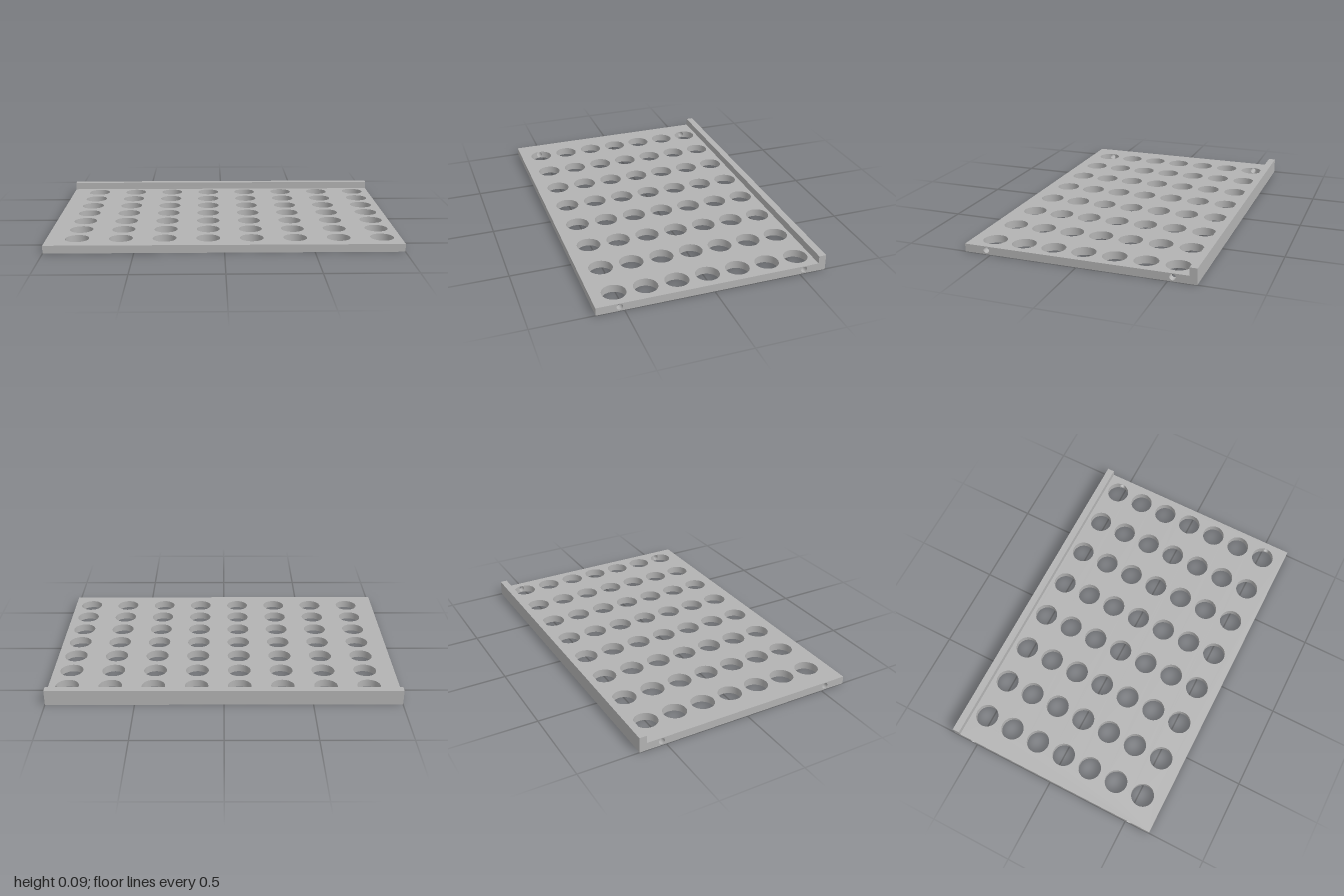
import * as THREE from 'three';

const W = 1, D = 0.654, T = 0.045;            // half width, half depth, plate thickness
const LIP_Z = -0.612, LIP_Y = 0.09;           // rear lip
const R = 0.067, ROWS = 7, COLS = 8;          // round perforations
const BORE_R = 0.0175, BORE_Y = 0.0245;       // small bores in the end faces
const WINDOW = Math.PI / 8;                   // wall sector that a bore breaks through
const colX = i => -0.827 + i * 0.2457;
const rowZ = j => (j - 3) * 0.175;
const BORE_Z = rowZ(ROWS - 1);

function polygon(points) {
  return new THREE.Shape(points.map(p => new THREE.Vector2(p[0], p[1])));
}

function circleHole(x, y, r) {
  return new THREE.Path().absarc(x, y, r, 0, Math.PI * 2, true);
}

// Flat sheet with all the round perforations, between two z values
function perforatedSheet(z0, z1, flip) {
  const s = polygon([[-W, flip * z0], [W, flip * z0], [W, flip * z1], [-W, flip * z1]]);
  for (let i = 0; i < COLS; i++)
    for (let j = 0; j < ROWS; j++) s.holes.push(circleHole(colX(i), flip * rowZ(j), R));
  return new THREE.ShapeGeometry(s, 24).rotateX(flip * Math.PI / 2);
}

// L-shaped end face with two bores
function endFace(side) {
  const u = z => -side * z;
  const s = polygon([[u(D), 0], [u(-D), 0], [u(-D), LIP_Y], [u(LIP_Z), LIP_Y], [u(LIP_Z), T], [u(D), T]]);
  for (const z of [-BORE_Z, BORE_Z]) s.holes.push(circleHole(u(z), BORE_Y, BORE_R));
  return new THREE.ShapeGeometry(s, 12).rotateY(side * Math.PI / 2).translate(side * W, 0, 0);
}

// Curved piece of perforation wall with the bore opening cut in it
function boredWall(side) {
  const pts = [], n = 6;
  for (let k = 0; k <= n; k++) pts.push([-WINDOW + 2 * WINDOW * k / n, 0]);
  for (let k = n; k >= 0; k--) pts.push([-WINDOW + 2 * WINDOW * k / n, T]);
  const s = polygon(pts);
  const opening = [];
  for (let k = 0; k < 24; k++) {
    const a = -k / 24 * Math.PI * 2;
    opening.push(new THREE.Vector2(Math.asin(BORE_R * Math.cos(a) / R), BORE_Y + BORE_R * Math.sin(a)));
  }
  s.holes.push(new THREE.Path(opening));
  const g = new THREE.ShapeGeometry(s);
  const p = g.attributes.position;
  for (let i = 0; i < p.count; i++) {
    const a = p.getX(i);
    p.setXYZ(i, side * R * Math.cos(a), p.getY(i), R * Math.sin(a));
  }
  g.computeVertexNormals();
  return g;
}

// Bore lining from the end face to the curved perforation wall
function boreLining(side, cx) {
  const g = new THREE.CylinderGeometry(BORE_R, BORE_R, 1, 24, 1, true).rotateZ(Math.PI / 2);
  const p = g.attributes.position;
  for (let i = 0; i < p.count; i++) {
    const z = p.getZ(i);
    const outer = p.getX(i) * side > 0;
    p.setX(i, outer ? side * W : cx + side * Math.sqrt(R * R - z * z));
  }
  return g;
}

export function createModel() {
  const model = new THREE.Group();
  model.name = 'perforatedTray';
  const grey = new THREE.MeshStandardMaterial({ color: 0xb3b3b3, side: THREE.DoubleSide });
  grey.name = 'grey';
  const add = (name, geometry, x = 0, y = 0, z = 0) => {
    const mesh = new THREE.Mesh(geometry, grey);
    mesh.name = name;
    mesh.position.set(x, y, z);
    model.add(mesh);
  };

  // Plate faces
  add('plateTop', perforatedSheet(LIP_Z, D, -1), 0, T, 0);
  add('plateBottom', perforatedSheet(-D, D, 1));
  add('frontEdge', new THREE.PlaneGeometry(2 * W, T), 0, T / 2, D);

  // Rear lip faces
  add('lipBack', new THREE.PlaneGeometry(2 * W, LIP_Y).rotateY(Math.PI), 0, LIP_Y / 2, -D);
  add('lipFront', new THREE.PlaneGeometry(2 * W, LIP_Y - T), 0, (LIP_Y + T) / 2, LIP_Z);
  add('lipTop', new THREE.PlaneGeometry(2 * W, LIP_Z + D).rotateX(-Math.PI / 2), 0, LIP_Y, (LIP_Z - D) / 2);

  // End faces
  add('leftEnd', endFace(1));
  add('rightEnd', endFace(-1));

  // Perforation walls; the four corner ones open into the end bores
  const fullWall = new THREE.CylinderGeometry(R, R, T, 48, 1, true);
  for (let i = 0; i < COLS; i++) {
    for (let j = 0; j < ROWS; j++) {
      const x = colX(i), z = rowZ(j);
      const corner = (i === 0 || i === COLS - 1) && (j === 0 || j === ROWS - 1);
      if (!corner) {
        add('perforationWall', fullWall, x, T / 2, z);
        continue;
      }
      const side = i === 0 ? -1 : 1;
      add('perforationWall', new THREE.CylinderGeometry(R, R, T, 42, 1, true,
        side * Math.PI / 2 + WINDOW, 2 * Math.PI - 2 * WINDOW), x, T / 2, z);
      add('boredWall', boredWall(side), x, 0, z);
      add('boreLining', boreLining(side, x), 0, BORE_Y, z);
    }
  }
  return model;
}
